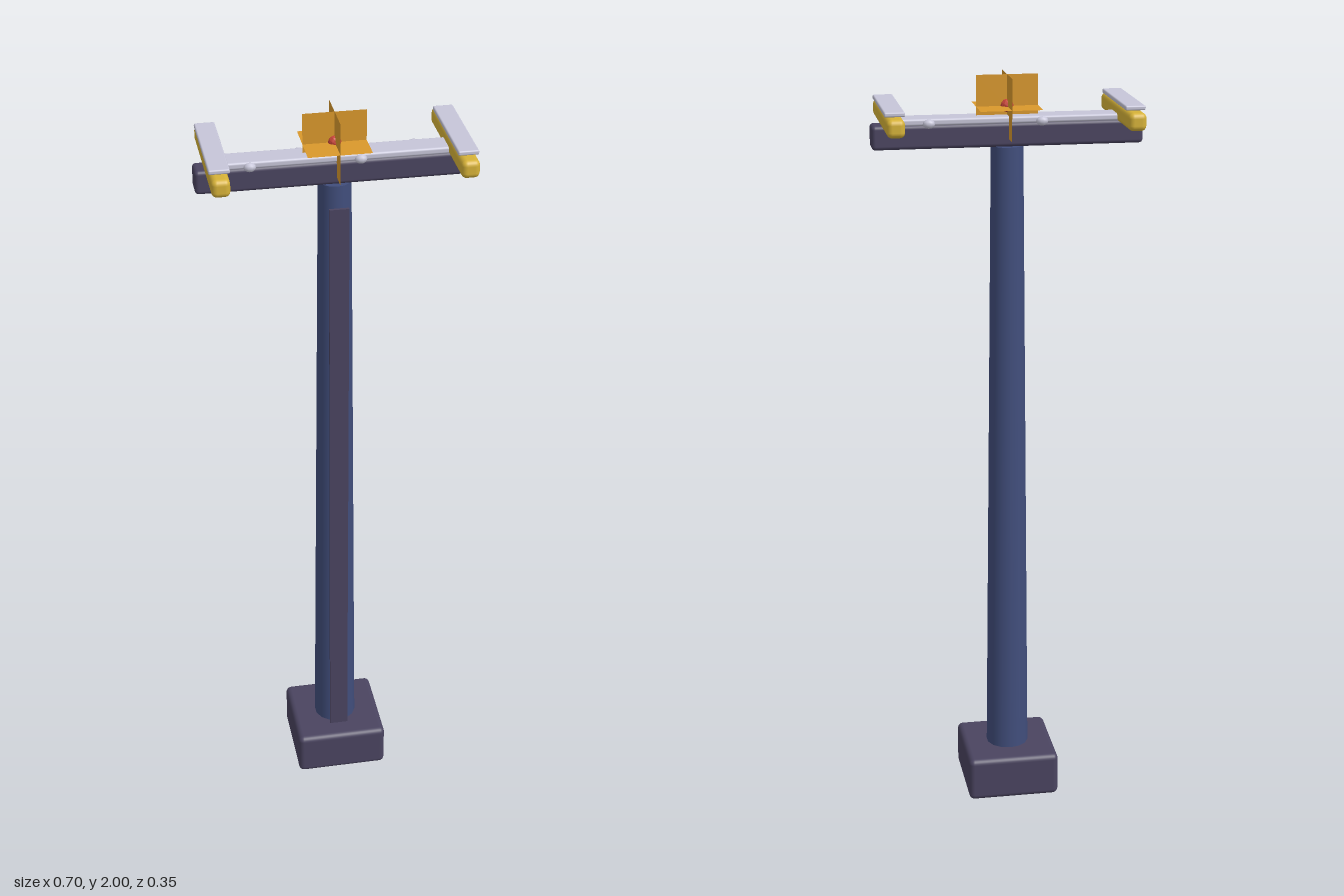
import * as THREE from 'three';
import { RoundedBoxGeometry } from 'three/addons/geometries/RoundedBoxGeometry.js';

export function createModel() {
  const model = new THREE.Group();
  model.name = 'streetLamp';

  const material = (name, color, extra = {}) => {
    const m = new THREE.MeshStandardMaterial({ color, ...extra });
    m.name = name;
    return m;
  };
  const iron = material('darkIron', 0x4a4460);
  const paint = material('bluePaint', 0x414e7c);
  const snow = material('snow', 0xc6c5d8);
  const amber = material('amberLight', 0xd9982c, { side: THREE.DoubleSide });
  const brass = material('yellowLamp', 0xd6b238);
  const red = material('redBulb', 0xc8453a, { flatShading: true });

  const add = (name, geometry, mat, x, y, z) => {
    const mesh = new THREE.Mesh(geometry, mat);
    mesh.name = name;
    mesh.position.set(x, y, z);
    model.add(mesh);
    return mesh;
  };
  const rounded = (w, h, d, r) => new RoundedBoxGeometry(w, h, d, 3, r);

  // Footing, tapered pole and the thin strip standing in front of it
  add('base', rounded(0.25, 0.122, 0.25, 0.015), iron, 0, 0.065, 0);
  add('pole', new THREE.CylinderGeometry(0.042, 0.059, 1.82, 14), paint, 0, 0.91, 0);
  add('frontStrip', new THREE.BoxGeometry(0.05, 1.67, 0.008), iron, 0, 0.935, 0.064);

  // Crossbar with its snow cover
  add('crossbar', rounded(0.7, 0.062, 0.062, 0.01), iron, 0, 1.851, 0);
  add('crossbarSnow', rounded(0.62, 0.018, 0.066, 0.006), snow, 0, 1.889, -0.001);

  // Small snow lumps along the crossbar edges
  for (const [x, z] of [[-0.215, 0.032], [0.06, 0.032], [0.205, -0.034], [-0.085, -0.034]]) {
    add('snowLump', new THREE.SphereGeometry(1, 10, 6), snow, x, 1.885, z)
      .scale.set(0.016, 0.012, 0.011);
  }

  // Lamp bars across both ends, each with a snow slab
  for (const side of [-1, 1]) {
    add('lampBar', rounded(0.046, 0.046, 0.35, 0.014), brass, side * 0.303, 1.898, 0);
    add('lampSnow', rounded(0.052, 0.012, 0.285, 0.004), snow, side * 0.303, 1.929, 0);
  }

  // Three crossed light panels around a small red bulb
  for (const [name, rx, ry] of [['panelFront', 0, 0], ['panelSide', 0, Math.PI / 2], ['panelFlat', -Math.PI / 2, 0]]) {
    add(name, new THREE.PlaneGeometry(0.16, 0.16), amber, 0, 1.92, 0).rotation.set(rx, ry, 0);
  }
  add('bulb', new THREE.IcosahedronGeometry(0.017, 1), red, 0, 1.921, 0);

  return model;
}
